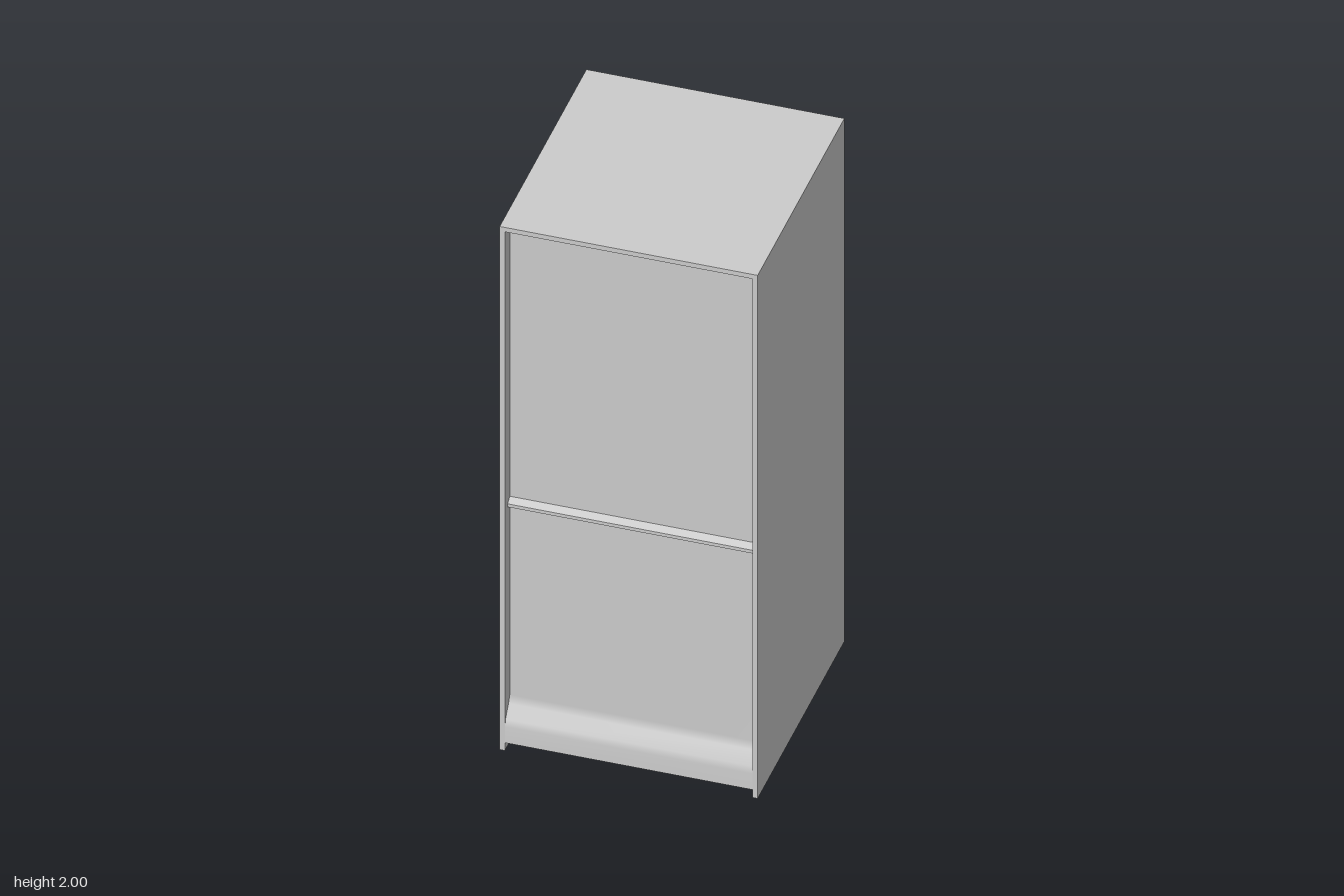
import * as THREE from 'three';

const W = 0.42, D = 0.436, H = 2, T = 0.017; // half width, half depth, height, wall
const INNER = W - T, FLOOR = 0.03;

// Smooth sheet spanning the inner width, following [y, z] points from top to bottom
function sheet(profile) {
  const positions = [], index = [];
  profile.forEach(([y, z], i) => {
    positions.push(-INNER, y, z, INNER, y, z);
    const a = i * 2;
    if (i > 0) index.push(a - 2, a, a - 1, a - 1, a, a + 1);
  });
  const g = new THREE.BufferGeometry();
  g.setAttribute('position', new THREE.Float32BufferAttribute(positions, 3));
  g.setIndex(index);
  g.computeVertexNormals();
  return g;
}

export function createModel() {
  const model = new THREE.Group();
  const material = new THREE.MeshStandardMaterial({ color: 0xcccccc });
  const add = (parent, name, geometry) => {
    const mesh = new THREE.Mesh(geometry, material);
    mesh.name = name;
    parent.add(mesh);
    return mesh;
  };

  // Casing: two sides and a top, open at front and back
  const outline = new THREE.Shape([
    [-W, 0], [-INNER, 0], [-INNER, H - T], [INNER, H - T],
    [INNER, 0], [W, 0], [W, H], [-W, H],
  ].map(([x, y]) => new THREE.Vector2(x, y)));
  const casing = new THREE.ExtrudeGeometry(outline, { depth: 2 * D, bevelEnabled: false });
  add(model, 'casing', casing.translate(0, 0, -D));

  // Raised floor between the sides
  const floor = new THREE.PlaneGeometry(2 * INNER, 2 * D).rotateX(Math.PI / 2);
  add(model, 'floor', floor.translate(0, FLOOR, 0));

  // Rail section with a sloped top, extruded across the width
  const recess = D - 0.05;
  const section = new THREE.Shape([
    [0, 0.912], [0.022, 0.912], [0.022, 0.924], [0, 0.938],
  ].map(([z, y]) => new THREE.Vector2(-z, y)));

  // The same recessed panel and rail close both the front and the back
  ['front', 'back'].forEach((side, i) => {
    const face = new THREE.Group();
    face.name = side + 'Face';
    face.rotation.y = i * Math.PI;
    model.add(face);

    // Panel flaring outwards into a flush kick strip
    add(face, side + 'Panel', sheet([
      [H - T, recess], [0.18, recess], [0.155, recess + 0.013],
      [0.115, D - 0.006], [0.09, D - 0.002], [FLOOR, D],
    ]));

    const rail = new THREE.ExtrudeGeometry(section, { depth: 2 * INNER, bevelEnabled: false });
    rail.rotateY(Math.PI / 2).translate(-INNER, 0, recess);
    add(face, side + 'Rail', rail);
  });
  return model;
}
